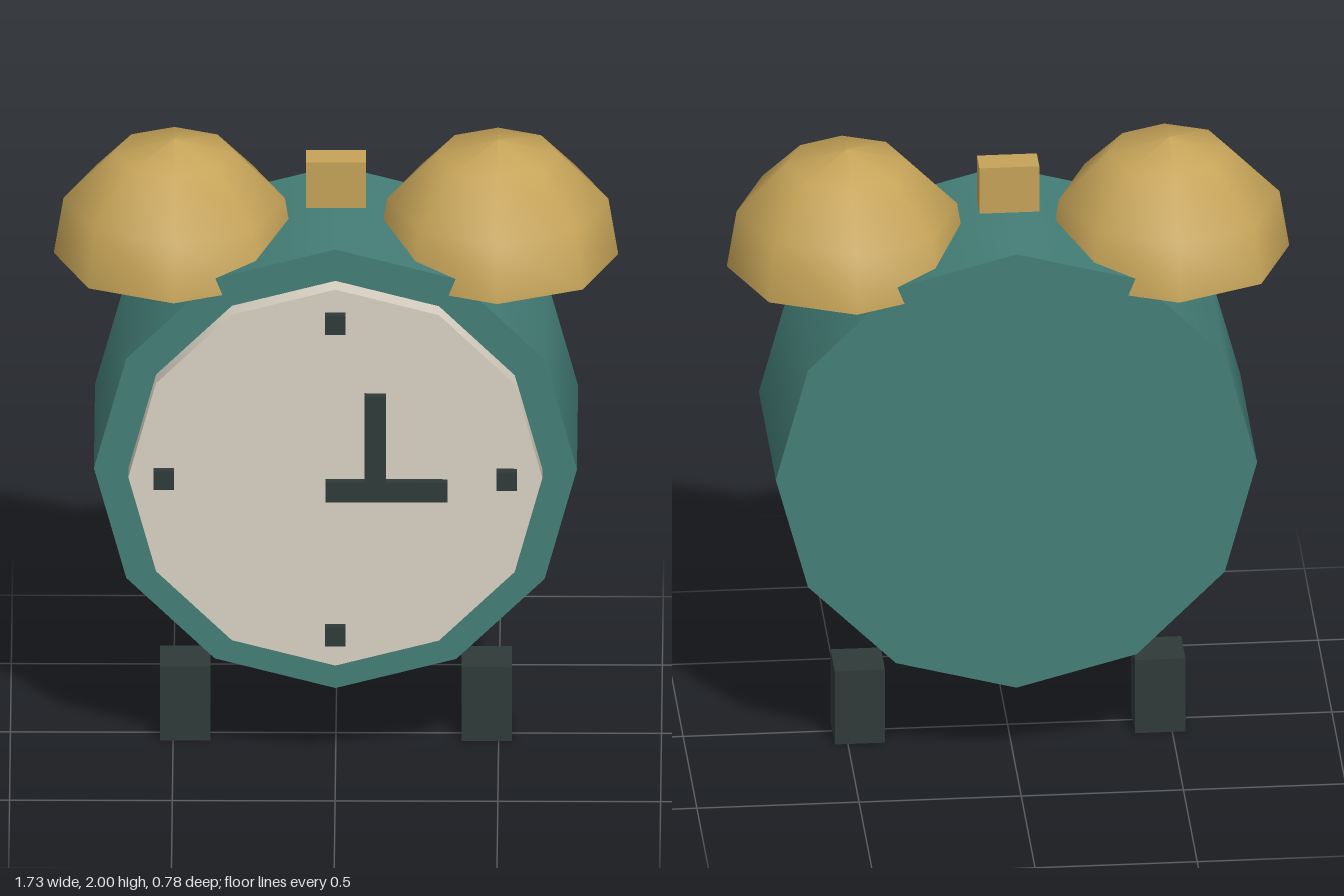
import * as THREE from 'three';

export function createModel() {
  const clock = new THREE.Group();
  clock.name = 'alarmClock';

  const paint = (name, color, side = THREE.FrontSide) => {
    const m = new THREE.MeshStandardMaterial({ color, side });
    m.name = name;
    return m;
  };
  const teal = paint('teal', 0x447e77);
  const cream = paint('cream', 0xd9d2c3);
  const gold = paint('gold', 0xc5a358, THREE.DoubleSide);
  const charcoal = paint('charcoal', 0x2f3a38);

  const add = (name, geometry, material, x, y, z) => {
    const mesh = new THREE.Mesh(geometry, material);
    mesh.name = name;
    mesh.position.set(x, y, z);
    clock.add(mesh);
    return mesh;
  };
  const box = (name, material, w, h, d, x, y, z) =>
    add(name, new THREE.BoxGeometry(w, h, d), material, x, y, z);
  // Twelve-sided drum lying along z
  const drum = (name, material, r, back, front) =>
    add(name, new THREE.CylinderGeometry(r, r, front - back, 12).rotateX(Math.PI / 2),
      material, 0, centreY, (front + back) / 2);

  const centreY = 1.027;
  const midZ = -0.018;

  // Case and dial
  drum('case', teal, 0.742, -0.325, 0.29);
  drum('dial', cream, 0.636, 0.28, 0.355);

  // Hour markers
  for (let i = 0; i < 4; i++) {
    const a = i * Math.PI / 2;
    box('hourMarker', charcoal, 0.063, 0.063, 0.035,
      0.527 * Math.sin(a), centreY + 0.527 * Math.cos(a), 0.364);
  }

  // Hands
  box('verticalHand', charcoal, 0.066, 0.325, 0.026, 0.123, 1.155, 0.378);
  box('horizontalHand', charcoal, 0.375, 0.067, 0.026, 0.157, 0.994, 0.379);

  // Open eight-sided bell domes, rim to crown
  const profile = [[0.37, 0], [0.34, 0.186], [0.187, 0.34], [0, 0.386]]
    .map(([r, y]) => new THREE.Vector2(r, y));
  const bell = new THREE.LatheGeometry(profile, 8);

  // Bells and feet, one per side
  for (const [side, s] of [['left', 1], ['right', -1]]) {
    add(side + 'Bell', bell, gold, s * 0.497, 1.614, midZ);
    box(side + 'Foot', charcoal, 0.155, 0.25, 0.155, s * 0.463, 0.125, midZ);
  }

  // Hammer between the bells
  box('hammer', gold, 0.185, 0.155, 0.09, 0, 1.863, -0.022);

  return clock;
}
